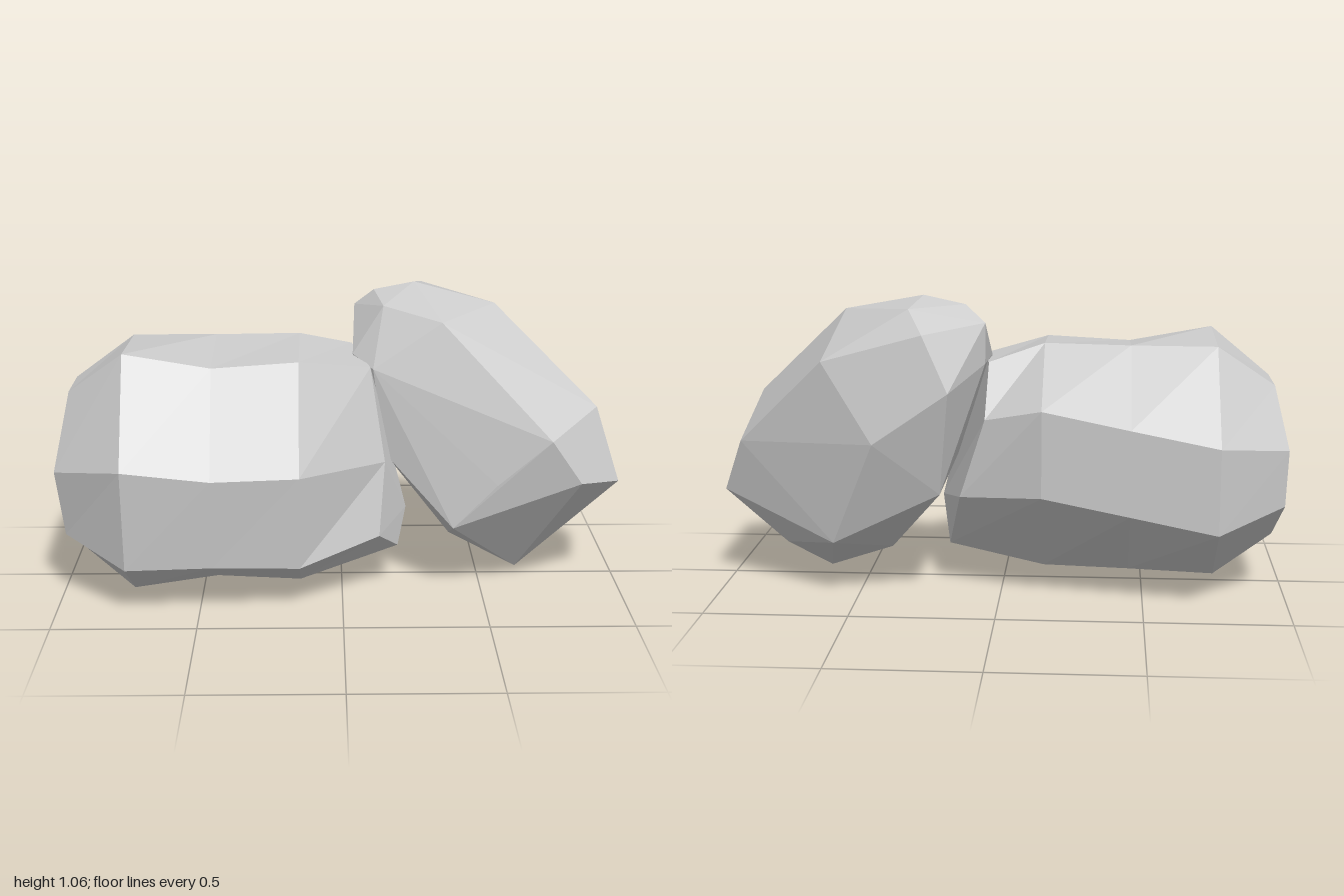
import * as THREE from 'three';
import { ConvexGeometry } from 'three/addons/geometries/ConvexGeometry.js';

const stone = new THREE.MeshStandardMaterial({ color: 0xcccccc, flatShading: true });

// Eight-sided boulder section as [y, z], about the boulder's long axis
const CY = 0.46;
const section = [
  [0.9, 0.25], [0.54, 0.45], [0.175, 0.41], [0, 0.13],
  [0.07, -0.15], [0.28, -0.42], [0.58, -0.43], [0.88, -0.13],
].map(([y, z]) => [y - CY, z]);

// Stations along x: height scale at the front and back, depth scale,
// bow of the ring along x, drop of its front flank and rise of its back flank
const stations = [
  { x: -1.01, front: 0.66, back: 0.66, depth: 0.57, bow: 0.13, drop: 0.03, rise: 0 },
  { x: -0.75, front: 1, back: 1, depth: 1, bow: 0, drop: 0, rise: 0 },
  { x: -0.45, front: 0.9, back: 0.99, depth: 0.96, bow: 0, drop: 0.03, rise: 0.06 },
  { x: -0.15, front: 0.94, back: 0.99, depth: 0.91, bow: 0, drop: 0.03, rise: 0.12 },
];

// Narrow, skewed ring where the lying boulder meets the leaning one
const endRing = [
  [0.1, 0.81, 0.09], [0.15, 0.49, 0.18], [0.13, 0.235, 0.24], [0.2, 0.16, 0.13],
  [0.19, 0.15, -0.09], [0.14, 0.36, -0.25], [0.05, 0.64, -0.28], [0.04, 0.83, -0.2],
];

function loftBoulder() {
  const n = section.length;
  const rings = stations.map(s => section.map(([y, z]) => {
    const flank = (z / 0.44) ** 2;
    const lift = z > 0 ? -s.drop * flank : s.rise * flank;
    return [
      s.x + s.bow * Math.abs(y),
      CY + y * (z > 0 ? s.front : s.back) + lift,
      z * s.depth,
    ];
  }));
  rings.push(endRing);
  const pos = [];
  const tri = (a, b, c) => pos.push(...a, ...b, ...c);
  for (let i = 0; i < rings.length - 1; i++) {
    for (let j = 0; j < n; j++) {
      const k = (j + 1) % n;
      tri(rings[i][j], rings[i][k], rings[i + 1][j]);
      tri(rings[i][k], rings[i + 1][k], rings[i + 1][j]);
    }
  }
  // Outer end is nearly flat, inner end comes to a blunt tip
  const tip = [0.23, 0.29, 0.08];
  for (let j = 0; j < n; j++) {
    const k = (j + 1) % n;
    tri([-1, CY, 0], rings[0][k], rings[0][j]);
    tri(tip, endRing[j], endRing[k]);
  }
  const g = new THREE.BufferGeometry();
  g.setAttribute('position', new THREE.Float32BufferAttribute(pos, 3));
  g.computeVertexNormals();
  return g;
}

// Corners of the leaning boulder, grouped from its raised end to its foot
const leaningCorners = [
  // raised end
  [0.05, 0.97, -0.23], [0.12, 1.03, -0.2], [0.04, 0.83, -0.03], [0.05, 0.83, -0.24],
  [0.15, 1.0, -0.05], [0.11, 0.8, 0.08],
  // upper shoulder
  [0.265, 1.06, -0.19], [0.3, 1.03, -0.35], [0.25, 0.95, -0.41], [0.16, 0.76, -0.45],
  [0.55, 1.0, -0.1], [0.35, 0.97, 0.095], [0.15, 0.5, 0.1],
  // waist
  [0.6, 0.85, -0.36], [0.42, 0.58, -0.43], [0.2, 0.39, -0.34],
  [0.9, 0.67, 0.11], [0.72, 0.6, 0.31], [0.54, 0.43, 0.27],
  // lower shoulder and foot
  [0.92, 0.54, -0.2], [0.998, 0.345, -0.12], [0.98, 0.41, 0.16], [0.83, 0.44, 0.285],
  [0.39, 0.26, 0.235], [0.4, 0.13, -0.08], [0.64, 0.03, 0.01],
  [0.77, 0.16, -0.15], [0.58, 0.2, -0.3],
].map(p => new THREE.Vector3(...p));

export function createModel() {
  const group = new THREE.Group();
  group.name = 'boulders';
  const add = (name, geometry) => {
    const mesh = new THREE.Mesh(geometry, stone);
    mesh.name = name;
    group.add(mesh);
  };
  add('lyingBoulder', loftBoulder());
  add('leaningBoulder', new ConvexGeometry(leaningCorners));
  return group;
}
